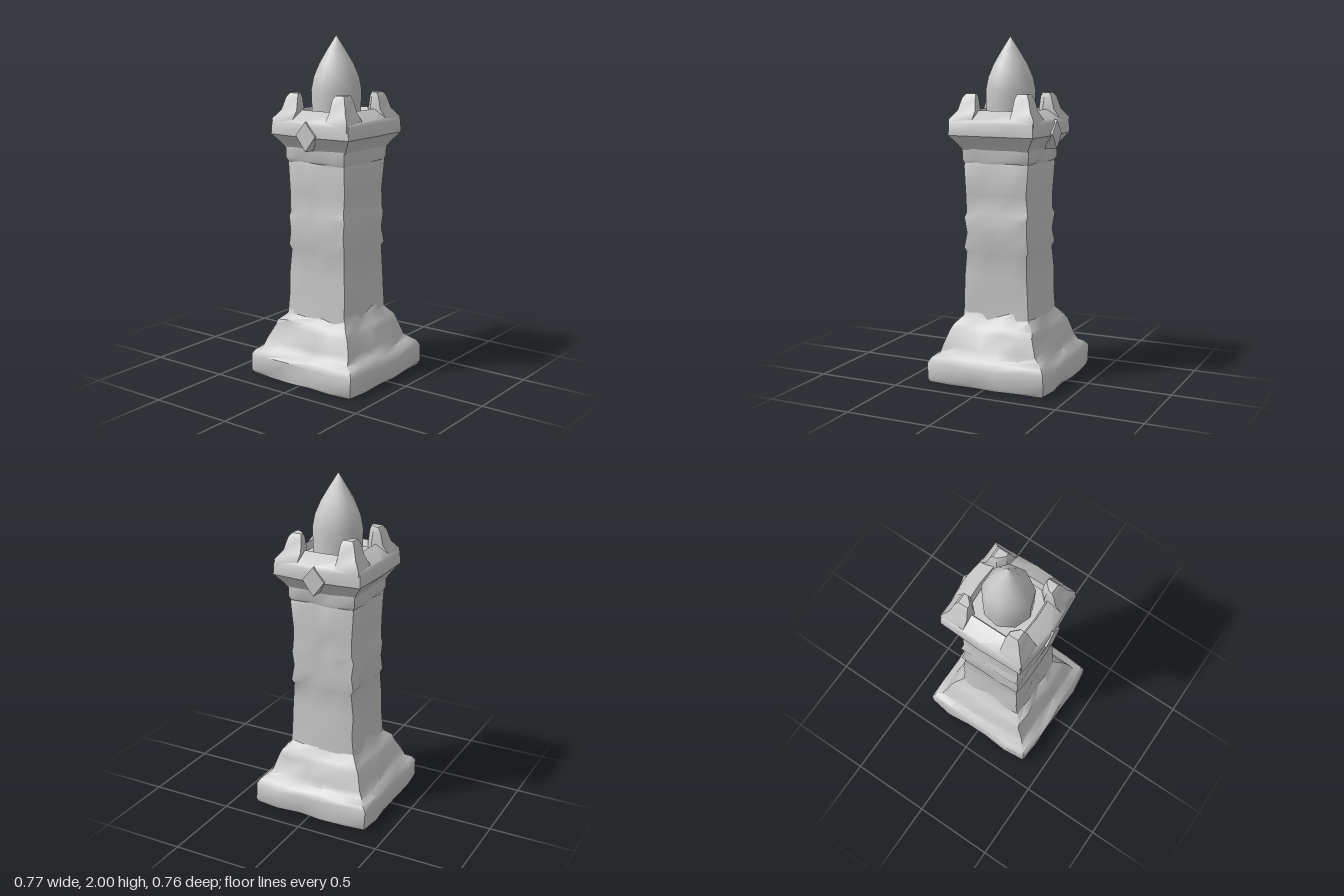
import * as THREE from 'three';
import { toCreasedNormals } from 'three/addons/utils/BufferGeometryUtils.js';

const stone = new THREE.MeshStandardMaterial({ color: 0xc8c8c8 });
stone.name = 'grey stone';

// repeatable noise in -1..1
let seed = 7;
const rough = () => {
  seed = (seed * 16807) % 2147483647;
  return (seed / 2147483647) * 2 - 1;
};

// skin over a stack of rings (each a list of [x, y, z], running +z to +x), capped at both ends
function loft(rings, crease) {
  const n = rings[0].length;
  const pos = rings.flat(2);
  const idx = [];
  for (let r = 0; r < rings.length - 1; r++) {
    for (let i = 0; i < n; i++) {
      const a = r * n + i, b = r * n + (i + 1) % n;
      idx.push(a, b, b + n, a, b + n, a + n);
    }
  }
  [rings[0], rings[rings.length - 1]].forEach((ring, end) => {
    const c = pos.length / 3, start = end ? (rings.length - 1) * n : 0;
    for (let k = 0; k < 3; k++) pos.push(ring.reduce((s, p) => s + p[k], 0) / n);
    for (let i = 0; i < n; i++) {
      const a = start + i, b = start + (i + 1) % n;
      if (end) idx.push(c, a, b); else idx.push(c, b, a);
    }
  });
  const g = new THREE.BufferGeometry();
  g.setAttribute('position', new THREE.Float32BufferAttribute(pos, 3));
  g.setIndex(idx);
  return toCreasedNormals(g, crease);
}

// square ring with worn corners and a rough surface
function squareRing(y, half, jitter, perSide = 5) {
  const pts = [];
  for (let s = 0; s < 4; s++) {
    const c = Math.round(Math.cos(s * Math.PI / 2)), d = Math.round(Math.sin(s * Math.PI / 2));
    for (let i = 0; i < perSide; i++) {
      const t = -1 + 2 * i / perSide;
      const worn = i === 0 ? 0.97 : 1;
      const u = (t * half + (i ? rough() * jitter : 0)) * worn;
      const v = (half + rough() * jitter) * worn;
      pts.push([u * c + v * d, y + (y > 0.01 ? rough() * jitter : 0), v * c - u * d]);
    }
  }
  return pts;
}

export function createModel() {
  const group = new THREE.Group();
  const add = (name, geometry) => {
    const mesh = new THREE.Mesh(geometry, stone);
    mesh.name = name;
    group.add(mesh);
    return mesh;
  };
  const roughTower = (name, profile, jitter) =>
    add(name, loft(profile.map(([y, half]) => squareRing(y, half, jitter)), 0.95));

  // stepped, weathered foot
  roughTower('base', [[0, 0.365], [0.025, 0.375], [0.12, 0.374], [0.15, 0.355], [0.175, 0.32],
    [0.21, 0.302], [0.3, 0.272], [0.335, 0.255], [0.375, 0.212], [0.42, 0.2]], 0.009);

  // square shaft with two worn ledges
  roughTower('shaft', [[0.36, 0.212], [0.5, 0.206], [0.62, 0.204], [0.76, 0.196], [0.785, 0.207],
    [0.87, 0.196], [0.96, 0.206], [0.99, 0.197], [1.1, 0.198], [1.27, 0.206], [1.3, 0.197]], 0.006);

  // collar under the crown
  roughTower('neck', [[1.28, 0.205], [1.3, 0.214], [1.38, 0.215]], 0.004);

  // flared crown with bowed sides and a sloping parapet
  const crownRing = ([y, half, bow]) => {
    const x = half, z = half * 0.96, bx = half * bow, bz = half * (bow + 0.02);
    return [[-x, y, z], [0, y, bz], [x, y, z], [bx, y, 0],
      [x, y, -z], [0, y, -bz], [-x, y, -z], [-bx, y, 0]];
  };
  add('crown', loft([[1.355, 0.212, 1], [1.385, 0.23, 1], [1.44, 0.274, 1.03], [1.51, 0.27, 1.05],
    [1.53, 0.258, 1.06], [1.58, 0.18, 1], [1.54, 0.165, 1]].map(crownRing), 0.6));

  // diamond keystones on the front and back of the crown
  const diamond = new THREE.Shape([[0, 1.36], [0.068, 1.45], [0, 1.53], [-0.068, 1.45]]
    .map(([x, y]) => new THREE.Vector2(x, y)));
  for (const side of [0, 1]) {
    const g = new THREE.ExtrudeGeometry(diamond, { depth: 0.1, bevelEnabled: false });
    g.translate(0, 0, 0.195);
    add(side ? 'backKeystone' : 'frontKeystone', g).rotation.y = side * Math.PI;
  }

  // leaning corner merlons: [height, inner edge, outer edge]
  const merlonProfile = [[1.46, 0.115, 0.262], [1.53, 0.115, 0.264], [1.58, 0.115, 0.226],
    [1.65, 0.122, 0.207], [1.675, 0.13, 0.19]];
  for (const sx of [1, -1]) {
    for (const sz of [1, -1]) {
      const rings = merlonProfile.map(([y, a, o]) => {
        const cut = a + 0.04;
        const pts = [[a, cut], [a, o], [o, o], [o, a], [cut, a]]
          .map(([x, z]) => [x * sx, y, z * sz]);
        return sx * sz > 0 ? pts : pts.reverse();
      });
      add((sz > 0 ? 'front' : 'back') + (sx > 0 ? 'Left' : 'Right') + 'Merlon', loft(rings, 0.75));
    }
  }

  // faceted turret with a pointed roof
  const turret = [[0.142, 1.5], [0.144, 1.6], [0.147, 1.69], [0.132, 1.765], [0.1, 1.84],
    [0.052, 1.92], [0, 2]].map(([r, y]) => new THREE.Vector2(r, y));
  const turretMesh = add('turret', new THREE.LatheGeometry(turret, 9));
  turretMesh.position.x = -0.003;

  return group;
}
